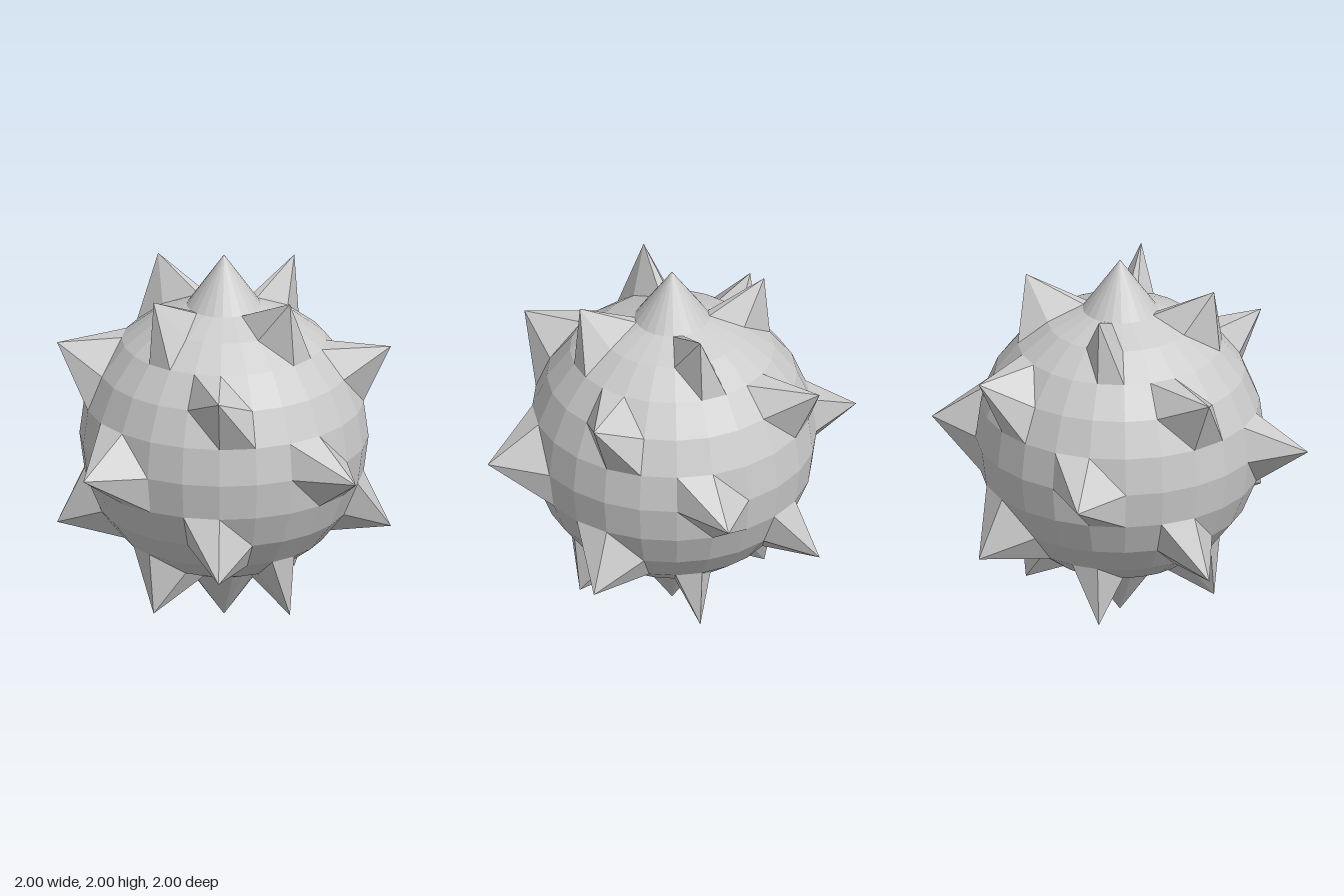
import * as THREE from 'three';

const BODY_RADIUS = 0.75;
const TIP_RADIUS = 1;

// Unit directions of all spike tips: poles, equator and two staggered bands per half
function spikeDirections() {
  const dirs = [new THREE.Vector3(0, 1, 0), new THREE.Vector3(0, -1, 0)];
  const bands = [[30, 0], [60, 45], [90, 0], [120, 45], [150, 0]];
  for (const [polar, start] of bands) {
    for (let k = 0; k < 4; k++) {
      dirs.push(new THREE.Vector3().setFromSphericalCoords(
        1, THREE.MathUtils.degToRad(polar), THREE.MathUtils.degToRad(start + 90 * k)));
    }
  }
  return dirs;
}

export function createModel() {
  const group = new THREE.Group();
  group.name = 'spikedBall';
  const material = new THREE.MeshStandardMaterial({ color: 0xcccccc, flatShading: true });

  const dirs = spikeDirections();
  const ball = new THREE.SphereGeometry(BODY_RADIUS, 24, 12).toNonIndexed();
  const pos = ball.attributes.position;

  // Pull the grid points at the spike directions outward and sort the triangles by part
  const bodyPoints = [];
  const spikePoints = dirs.map(() => []);
  for (let i = 0; i < pos.count; i += 3) {
    let target = bodyPoints;
    const corners = [0, 1, 2].map((j) => {
      const p = new THREE.Vector3().fromBufferAttribute(pos, i + j);
      const hit = dirs.findIndex((d) => d.dot(p) > BODY_RADIUS * 0.999);
      if (hit >= 0) {
        p.copy(dirs[hit]).multiplyScalar(TIP_RADIUS);
        target = spikePoints[hit];
      }
      return p;
    });
    target.push(...corners);
  }

  const addPart = (name, points) => {
    const geometry = new THREE.BufferGeometry().setFromPoints(points);
    geometry.computeVertexNormals();
    const mesh = new THREE.Mesh(geometry, material);
    mesh.name = name;
    mesh.position.y = 1;
    group.add(mesh);
  };

  // Faceted ball and its spikes
  addPart('ball', bodyPoints);
  spikePoints.forEach((points, i) => {
    addPart(i === 0 ? 'topSpike' : i === 1 ? 'bottomSpike' : `spike${i - 1}`, points);
  });

  return group;
}
